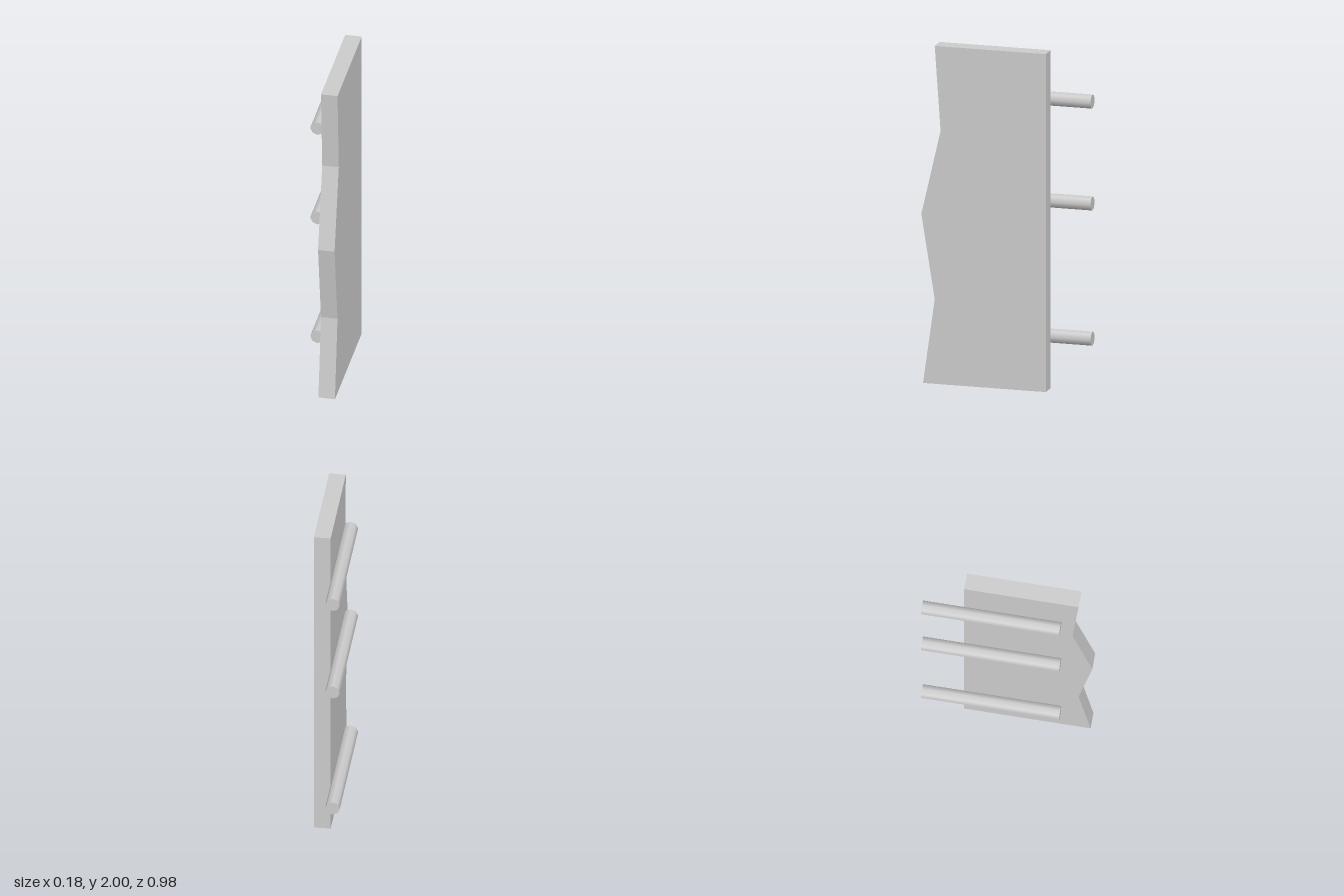
import * as THREE from 'three';

export function createModel() {
  const group = new THREE.Group();
  const material = new THREE.MeshStandardMaterial({ color: 0xcccccc });

  // Upright board with an uneven front edge; outline points are (z, y)
  const outline = [
    [-0.255, 0], [0.48, 0], [0.41, 0.5], [0.49, 1], [0.375, 1.5], [0.41, 2], [-0.255, 2],
  ].map(([z, y]) => new THREE.Vector2(z, y));
  const boardGeometry = new THREE.ExtrudeGeometry(new THREE.Shape(outline), {
    depth: 0.097,
    bevelEnabled: false,
  });
  boardGeometry.rotateY(-Math.PI / 2).translate(0.089, 0, 0);
  const board = new THREE.Mesh(boardGeometry, material);
  board.name = 'board';
  group.add(board);

  // Octagonal rods along one face, sticking out past the back edge
  const rodGeometry = new THREE.CylinderGeometry(0.042, 0.042, 0.803, 8).rotateX(Math.PI / 2);
  [0.3, 1.1, 1.703].forEach((y, i) => {
    const rod = new THREE.Mesh(rodGeometry, material);
    rod.name = `rod${i + 1}`;
    rod.position.set(-0.05, y, -0.0915);
    group.add(rod);
  });

  return group;
}
